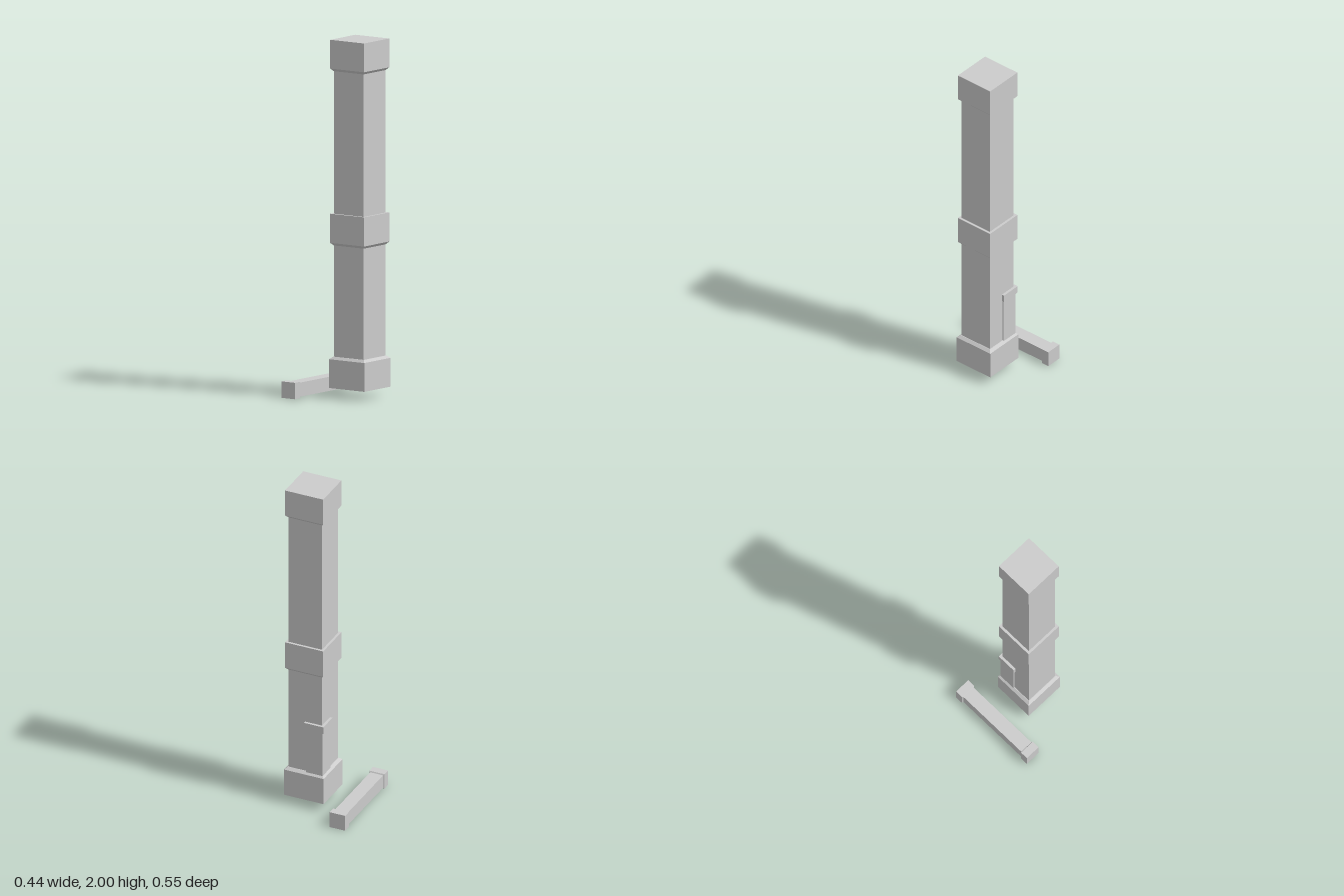
import * as THREE from 'three';

const material = new THREE.MeshStandardMaterial({ color: 0xcccccc, flatShading: true });

// Square solid from a profile of [half width, height] pairs, bottom to top, closed at both ends
function squareTurned(name, profile) {
  const points = [[0, profile[0][1]], ...profile, [0, profile[profile.length - 1][1]]]
    .map(([half, y]) => new THREE.Vector2(half * Math.SQRT2, y));
  const mesh = new THREE.Mesh(new THREE.LatheGeometry(points, 4, Math.PI / 4), material);
  mesh.name = name;
  return mesh;
}

// Block with a bevel running back to the shaft, below or above it
const bevelBelow = (name, shaft, half, y0, y1, bevel) =>
  squareTurned(name, [[shaft, y0 - bevel], [half, y0], [half, y1]]);
const bevelAbove = (name, shaft, half, y0, y1, bevel) =>
  squareTurned(name, [[half, y0], [half, y1], [shaft, y1 + bevel]]);

export function createModel() {
  const model = new THREE.Group();
  model.name = 'pillarSet';

  // Tall pillar with base, middle band and capital
  const pillar = new THREE.Group();
  pillar.name = 'pillar';
  pillar.position.set(0.097, 0, -0.0255);
  const s = 0.1025;
  pillar.add(
    squareTurned('pillarShaft', [[s, 0.1], [s, 1.95]]),
    bevelAbove('pillarBase', s + 0.003, 0.1215, 0.052, 0.213, 0.014),
    bevelBelow('pillarBand', s, 0.117, 0.864, 1.027, 0.015),
    bevelBelow('pillarCapital', s, 0.117, 1.839, 2, 0.015),
  );

  // Low pilaster wrapped around the back right corner of the pillar
  const pilaster = new THREE.Group();
  pilaster.name = 'cornerPilaster';
  pilaster.position.set(-0.059, 0, -0.059);
  pilaster.add(
    squareTurned('pilasterShaft', [[0.051, 0.15], [0.051, 0.51]]),
    squareTurned('pilasterCap', [[0.059, 0.498], [0.059, 0.541]]),
  );
  pillar.add(pilaster);

  // Small post lying on the ground along z
  const post = new THREE.Group();
  post.name = 'fallenPost';
  post.position.set(-0.172, 0.0475, 0);
  post.rotation.x = -Math.PI / 2;
  const p = 0.0395;
  post.add(
    squareTurned('postShaft', [[p, -0.25], [p, 0.25]]),
    bevelAbove('postBase', p, 0.046, -0.276, -0.23, 0.004),
    bevelBelow('postCapital', p, 0.0475, 0.232, 0.278, 0.004),
  );

  model.add(pillar, post);
  return model;
}
